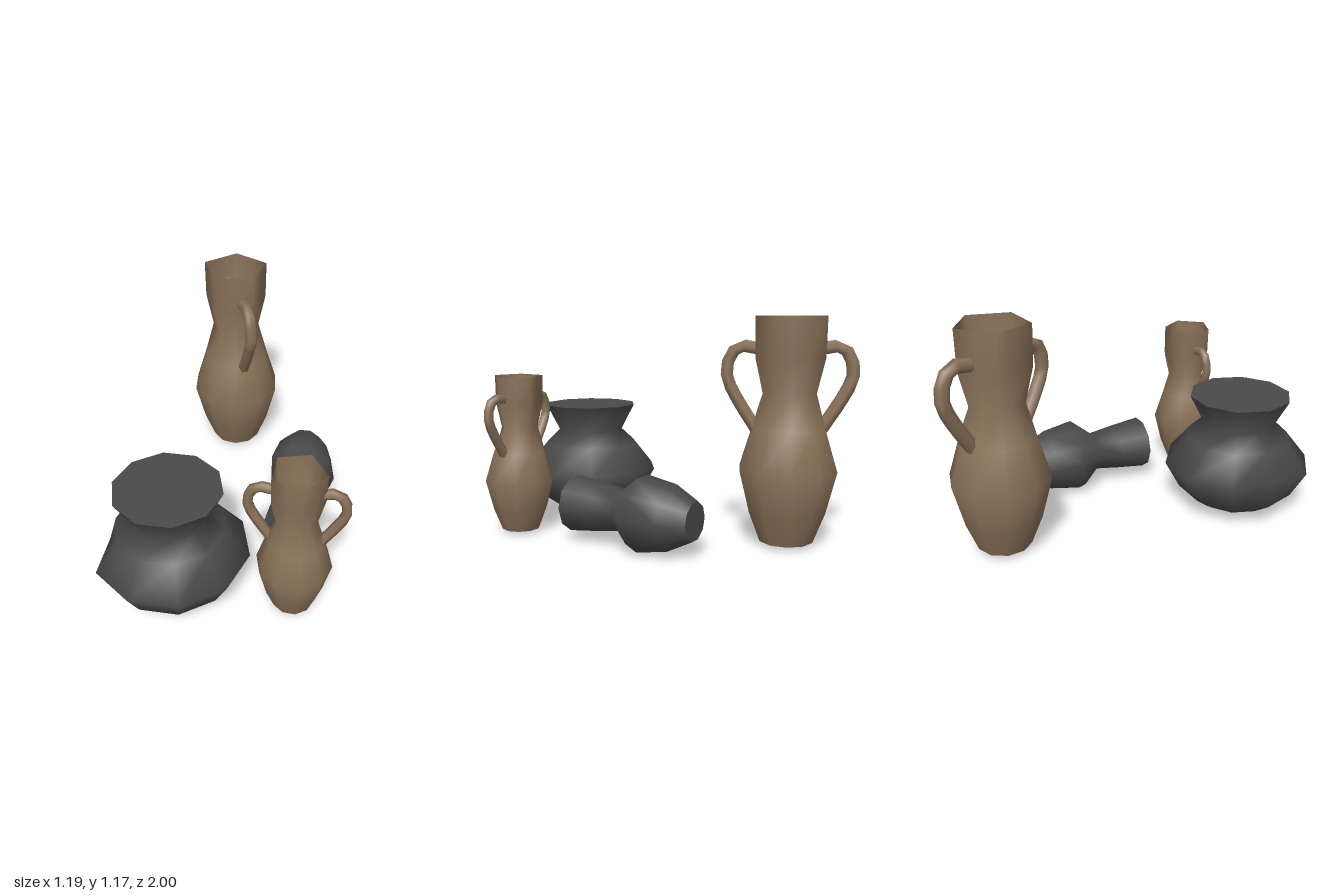
import * as THREE from 'three';

const SIDES = 10;

// Loft of ten-point rings; each ring is [y, radius, polygon sides (10 or 5)].
// minX flattens one side of the widest rings.
function loft(rings, minX = -Infinity) {
  const pos = [], idx = [];
  rings.forEach(([y, r, n = SIDES]) => {
    for (let j = 0; j < SIDES; j++) {
      const a = (j / SIDES) * Math.PI * 2;
      const rad = n === 5 && j % 2 ? r * Math.cos(Math.PI / 5) : r;
      pos.push(Math.max(rad * Math.cos(a), minX), y, rad * Math.sin(a));
    }
  });
  for (let i = 0; i < rings.length - 1; i++) {
    for (let j = 0; j < SIDES; j++) {
      const k = (j + 1) % SIDES;
      const a = i * SIDES + j, b = i * SIDES + k;
      idx.push(a, a + SIDES, b, b, a + SIDES, b + SIDES);
    }
  }
  const g = new THREE.BufferGeometry();
  g.setAttribute('position', new THREE.Float32BufferAttribute(pos, 3));
  g.setIndex(idx);
  g.computeVertexNormals();
  return g;
}

// Flat disc closing a ring
function disc([y, r], up) {
  const g = new THREE.CircleGeometry(r, SIDES);
  g.rotateX(up ? -Math.PI / 2 : Math.PI / 2);
  g.translate(0, y, 0);
  return g;
}

function part(name, geometry, material) {
  const m = new THREE.Mesh(geometry, material);
  m.name = name;
  return m;
}

// Two-handled vase, open at the top
function amphora(name, clay, phase) {
  const g = new THREE.Group();
  g.name = name;
  const rings = [
    [0.025, 0.14], [0.18, 0.2], [0.4, 0.255], [0.61, 0.19],
    [0.79, 0.14, 5], [0.97, 0.182, 5], [1.173, 0.185, 5],
  ];
  const body = new THREE.Group();
  body.name = 'body';
  body.rotation.y = -phase;
  body.add(part('wall', loft(rings), clay), part('base', disc(rings[0], false), clay));
  g.add(body);

  // Bent handles on opposite sides
  const path = [[0.1, 1.0], [0.25, 1.025], [0.305, 0.96], [0.312, 0.86], [0.25, 0.74], [0.16, 0.6]];
  for (const side of [1, -1]) {
    const curve = new THREE.CatmullRomCurve3(
      path.map(([x, y]) => new THREE.Vector3(x * side, y, 0)), false, 'catmullrom', 0.25);
    g.add(part(side > 0 ? 'leftHandle' : 'rightHandle',
      new THREE.TubeGeometry(curve, 10, 0.035, 6, false), clay));
  }
  return g;
}

// Closed jar with flat ends
function jar(name, rings, minX, material) {
  const g = new THREE.Group();
  g.name = name;
  g.add(
    part('wall', loft(rings, minX), material),
    part('base', disc(rings[0], false), material),
    part('mouth', disc(rings[rings.length - 1], true), material));
  return g;
}

export function createModel() {
  const clay = new THREE.MeshStandardMaterial({ color: 0x8b7359, side: THREE.DoubleSide });
  clay.name = 'brown clay';
  const dark = new THREE.MeshStandardMaterial({ color: 0x4a4a4a, side: THREE.DoubleSide });
  dark.name = 'dark clay';

  const model = new THREE.Group();
  model.name = 'pottery';

  // Tall vase at the back
  const tall = amphora('tallAmphora', clay, THREE.MathUtils.degToRad(199));
  tall.position.set(-0.175, 0, -0.69);
  tall.rotation.y = -THREE.MathUtils.degToRad(64);

  // Smaller copy at the front
  const small = amphora('smallAmphora', clay, 0.05);
  small.scale.setScalar(0.728);
  small.position.set(0.34, 0, 0.65);

  // Wide pot with a flared neck
  const pot = jar('widePot', [
    [0.035, 0.205], [0.115, 0.315], [0.26, 0.395],
    [0.41, 0.275], [0.49, 0.19], [0.645, 0.27],
  ], -0.32, dark);
  pot.position.set(-0.275, 0, 0.62);

  // Jar lying on its side, mouth to the front
  const lying = jar('lyingJar', [
    [0, 0.1], [0.13, 0.167], [0.3, 0.197],
    [0.41, 0.106], [0.56, 0.128], [0.72, 0.147],
  ], -0.16, dark);
  lying.rotation.x = Math.PI / 2;
  lying.position.set(0.29, 0.19, -0.41);

  model.add(tall, small, pot, lying);
  return model;
}
